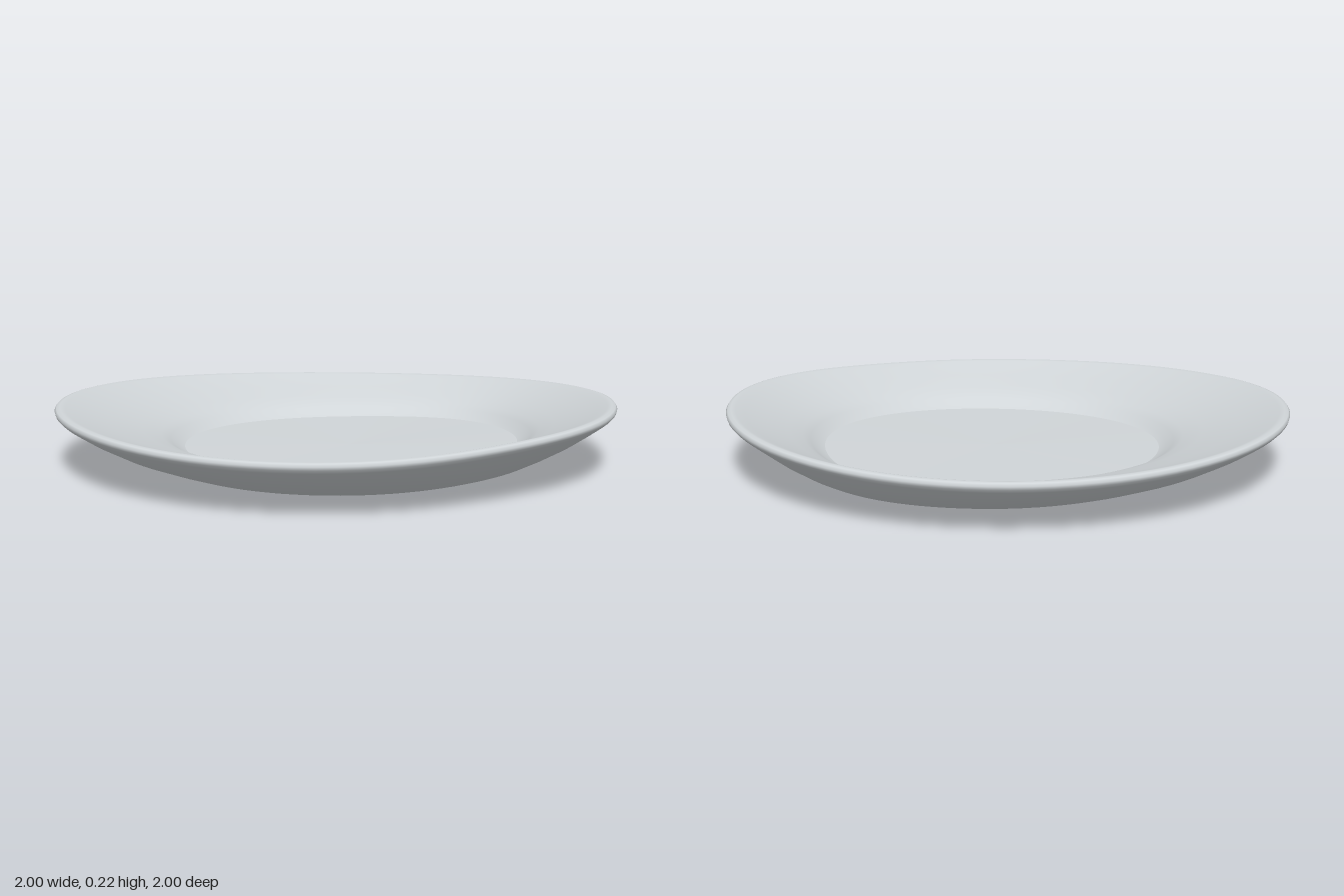
import * as THREE from 'three';

const SEGMENTS = 96;

// Bell-shaped bump around one angle (degrees)
function bump(theta, centre, width) {
  let d = (theta * 180 / Math.PI - centre) % 360;
  if (d > 180) d -= 360;
  if (d < -180) d += 360;
  return Math.exp(-((d / width) ** 2));
}

// Hand-formed unevenness: the well is off centre, the rim undulates
function place(r, y, theta) {
  const t = THREE.MathUtils.smoothstep(r, 0.62, 1);
  const c = Math.cos(theta);
  const radius = r
    - t * (0.033 * bump(theta, 50, 22) + 0.012 * bump(theta, 140, 22))
    + (1 - t) * r * 0.06 * bump(theta, -55, 28);
  const baseLift = (r / 0.66) * (0.009 * c + 0.016 * c * c);
  const rimLift = 0.02 * Math.cos(2 * theta) + 0.004 * c + 0.002 * Math.sin(theta);
  return [
    radius * c + 0.055 * (1 - t),
    y + (1 - t) * baseLift + t * rimLift,
    radius * Math.sin(theta) - 0.015 * (1 - t),
  ];
}

// Closed rings swept along a [radius, height] profile
function sweep(name, profile, material) {
  const positions = [];
  const indices = [];
  profile.forEach(([r, y], i) => {
    for (let j = 0; j < SEGMENTS; j++) {
      positions.push(...place(r, y, (j / SEGMENTS) * Math.PI * 2));
      if (i === profile.length - 1) continue;
      const a = i * SEGMENTS + j;
      const b = i * SEGMENTS + (j + 1) % SEGMENTS;
      const c = a + SEGMENTS;
      const d = b + SEGMENTS;
      if (r > 0) indices.push(a, b, c);
      if (profile[i + 1][0] > 0) indices.push(b, d, c);
    }
  });
  const geometry = new THREE.BufferGeometry();
  geometry.setAttribute('position', new THREE.Float32BufferAttribute(positions, 3));
  geometry.setIndex(indices);
  geometry.computeVertexNormals();
  const mesh = new THREE.Mesh(geometry, material);
  mesh.name = name;
  return mesh;
}

export function createModel() {
  const group = new THREE.Group();
  group.name = 'plate';
  const glaze = new THREE.MeshStandardMaterial({ color: 0xd0d5d8 });
  glaze.name = 'pale grey glaze';

  // Flat eating surface
  group.add(sweep('floor', [[0, 0.045], [0.3, 0.045], [0.6, 0.045]], glaze));

  // Well wall, sloping rim, rounded lip and flared underside
  group.add(sweep('rim', [
    [0.6, 0.045], [0.625, 0.056], [0.65, 0.075], [0.68, 0.092], [0.74, 0.115],
    [0.84, 0.148], [0.93, 0.179], [0.965, 0.192], [0.982, 0.196], [0.994, 0.193],
    [1, 0.184], [0.997, 0.173], [0.985, 0.161], [0.93, 0.124], [0.86, 0.083],
    [0.77, 0.042], [0.7, 0.014], [0.66, 0.003],
  ], glaze));

  // Flat underside of the base
  group.add(sweep('base', [[0.66, 0.003], [0.33, 0.001], [0, 0]], glaze));

  return group;
}
